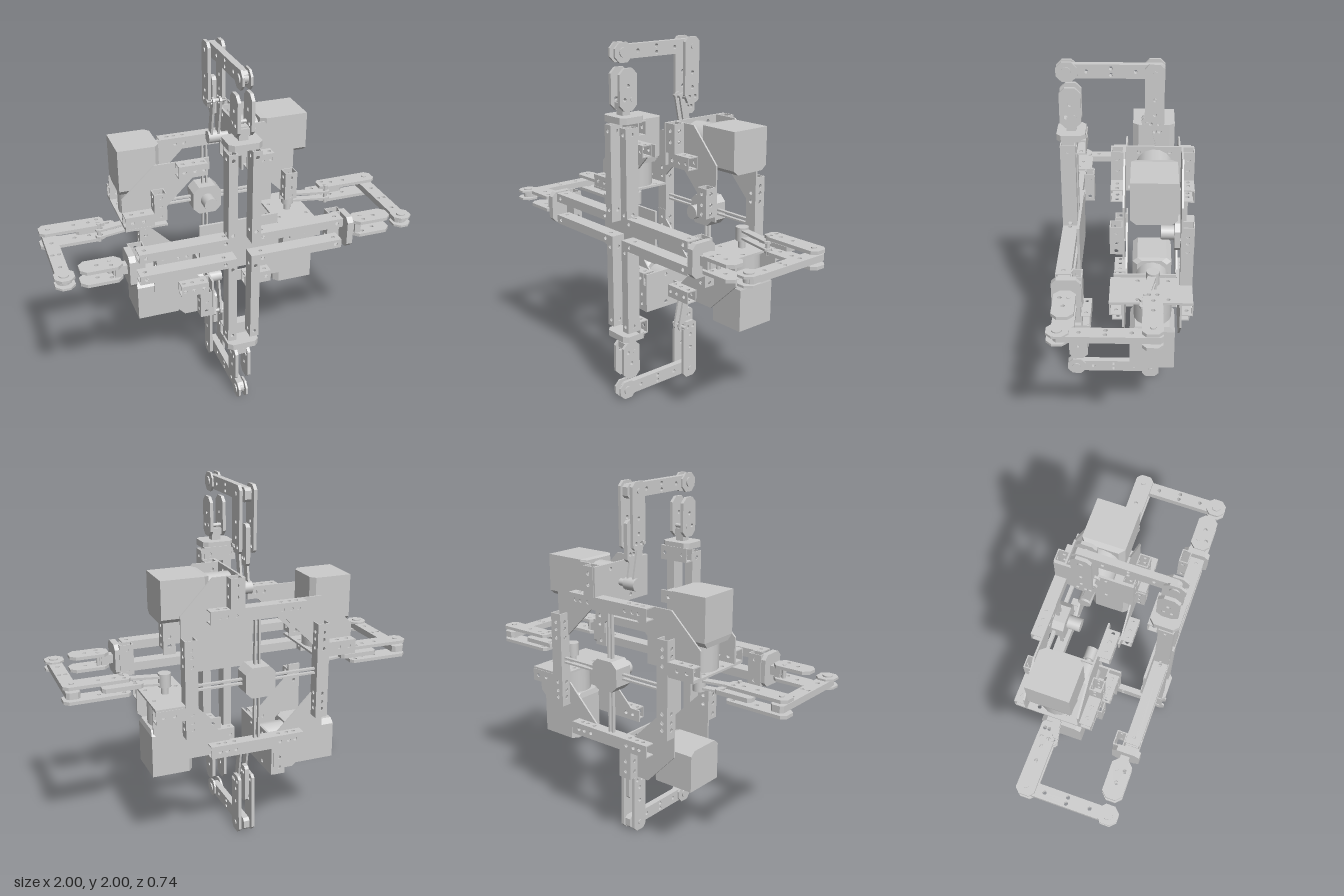
import * as THREE from 'three';
import { mergeGeometries } from 'three/addons/utils/BufferGeometryUtils.js';
import { ConvexGeometry } from 'three/addons/geometries/ConvexGeometry.js';

const mat = new THREE.MeshStandardMaterial({ color: 0xcccccc, flatShading: true });
const smooth = new THREE.MeshStandardMaterial({ color: 0xcccccc });

function add(parent, name, geo, x = 0, y = 0, z = 0, material = mat) {
  const m = new THREE.Mesh(geo, material);
  m.name = name;
  m.position.set(x, y, z);
  parent.add(m);
  return m;
}
const box = (w, h, d) => new THREE.BoxGeometry(w, h, d);

// Flat plate in xy, centred in depth, with round holes [x, y, r]
function plate(points, holes, t) {
  const s = new THREE.Shape(points.map(p => new THREE.Vector2(...p)));
  for (const [x, y, r = 0.011] of holes) {
    s.holes.push(new THREE.Path().absarc(x, y, r, 0, Math.PI * 2, true));
  }
  return new THREE.ExtrudeGeometry(s, { depth: t, bevelEnabled: false, curveSegments: 5 }).translate(0, 0, -t / 2);
}
// Same plate facing x: its points are [z, y]
const sidePlate = (points, holes, t) => plate(points, holes, t).rotateY(-Math.PI / 2);

// Rectangle with cut corners
const cutRect = (x0, y0, x1, y1, c) => [
  [x0 + c, y0], [x1 - c, y0], [x1, y0 + c], [x1, y1 - c],
  [x1 - c, y1], [x0 + c, y1], [x0, y1 - c], [x0, y0 + c]];
const rect = (x0, y0, x1, y1) => [[x0, y0], [x1, y0], [x1, y1], [x0, y1]];

// Open rectangular tube along y, drilled through all walls
function tube(w, d, len, holeYs) {
  const t = 0.006, h = holeYs.map(y => [0, y]), walls = [];
  for (const s of [-1, 1]) {
    walls.push(plate(rect(-w / 2, -len / 2, w / 2, len / 2), h, t).translate(0, 0, s * (d - t) / 2));
    walls.push(sidePlate(rect(-d / 2 + t, -len / 2, d / 2 - t, len / 2), h, t).translate(s * (w - t) / 2, 0, 0));
  }
  return mergeGeometries(walls);
}
const pin = (r, len) => new THREE.CylinderGeometry(r, r, len, 16).rotateZ(Math.PI / 2);

// Motor, gusset plates and mount on one arm
function addDrive(arm) {
  const cy = 0.455, cz = -0.14, pts = [];
  const section = (x, w, lo, hi) => {
    for (const s of [-1, 1]) {
      pts.push(new THREE.Vector3(x, hi, cz + s * w), new THREE.Vector3(x, lo + 0.025, cz + s * w),
        new THREE.Vector3(x, lo, cz + s * (w - 0.03)));
    }
  };
  section(0.235, 0.09, 0.345, 0.565);
  section(0.265, 0.118, 0.34, 0.57);
  section(0.5, 0.118, 0.34, 0.57);
  add(arm, 'motorHousing', new ConvexGeometry(pts));
  add(arm, 'motorGearbox', pin(0.1, 0.15).rotateX(0.1), 0.16, cy, cz, smooth).geometry.computeVertexNormals;
  add(arm, 'motorShaft', pin(0.02, 0.13), 0.03, cy, cz, smooth);

  add(arm, 'motorMountPlate', sidePlate(rect(-0.345, 0.34, 0.085, 0.57),
    [[-0.06, 0.37], [-0.22, 0.37], [-0.06, 0.54], [-0.22, 0.54]], 0.012), 0.085, 0, 0);

  const outline = [[0.08, 0.34], [0.14, 0.34], [0.34, 0.14], [0.34, 0.08], [0.41, 0.08],
    [0.41, 0.385], [0.235, 0.57], [0.08, 0.57]];
  const holes = [[0.125, 0.53], [0.125, 0.47], [0.125, 0.375], [0.18, 0.375], [0.375, 0.18], [0.375, 0.13]];
  for (const z of [0.012, -0.285]) add(arm, 'gussetPlate', plate(outline, holes, 0.01), 0, 0, z);
  for (const z of [0.05, -0.315]) {
    add(arm, 'mountTube', tube(0.07, 0.066, 0.16, [-0.02, 0.04]), 0.125, 0.49, z);
  }

  // Cross tubes behind and in front of the gussets
  const back = tube(0.07, 0.066, 0.54, [-0.22, -0.18, -0.13, 0.13, 0.18, 0.22]).rotateZ(Math.PI / 2);
  add(arm, 'backCrossTube', back, 0, 0.375, -0.315);
  for (const s of [-1, 1]) {
    const front = tube(0.07, 0.066, 0.16, [-0.06, -0.01, 0.05]).rotateZ(Math.PI / 2);
    add(arm, 'frontCrossTube', front, s * 0.19, 0.375, 0.05);
  }
}

// Front rail pair, end cap and gripping pad
function addRail(arm) {
  for (const s of [-1, 1]) {
    add(arm, 'rail', tube(0.05, 0.08, 0.53, [-0.2, 0.23]), s * 0.065, 0.305, 0.312);
    add(arm, 'fingerPad', sidePlate(cutRect(0.24, 0.65, 0.352, 0.87, 0.03),
      [[0.275, 0.71], [0.32, 0.71], [0.297, 0.78]], 0.018), s * 0.037, 0, 0);
  }
  add(arm, 'endTube', tube(0.08, 0.056, 0.18, [-0.06, 0.06]).rotateZ(Math.PI / 2), 0, 0.56, 0.243);
  add(arm, 'endCap', plate(cutRect(-0.09, 0.22, 0.09, 0.37, 0.025), [], 0.035).rotateX(Math.PI / 2), 0, 0.608, 0);
  add(arm, 'padStem', box(0.05, 0.09, 0.05), 0, 0.655, 0.295);
  add(arm, 'padSpacer', box(0.06, 0.035, 0.07), 0, 0.675, 0.297);
  add(arm, 'padPin', pin(0.011, 0.1), 0, 0.71, 0.275);
}

// Crank, upright link and reaching bar
function addLinkage(arm) {
  add(arm, 'reachBar', sidePlate(cutRect(-0.19, 0.913, 0.33, 0.987, 0.015),
    [[0.21, 0.95], [0.085, 0.967], [0.085, 0.933], [-0.04, 0.95]], 0.036));
  for (const s of [-1, 1]) {
    add(arm, 'barEndPlate', sidePlate(cutRect(0.255, 0.897, 0.365, 1, 0.03), [], 0.012), s * 0.022, 0, 0);
    add(arm, 'uprightLink', sidePlate([[-0.185, 0.66], [-0.165, 0.645], [-0.11, 0.645], [-0.088, 0.69],
      [-0.088, 0.975], [-0.11, 1], [-0.165, 1], [-0.19, 0.975]],
    [[-0.14, 0.95], [-0.14, 0.81], [-0.14, 0.73], [-0.12, 0.68], [-0.16, 0.68]], 0.018), s * 0.04, 0, 0);
    const crank = sidePlate(cutRect(-0.022, -0.03, 0.022, 0.25, 0.012), [[0, 0.22]], 0.012);
    add(arm, 'crank', crank.rotateX(0.2), s * 0.02, 0.455, -0.14);
  }
  add(arm, 'lowerLink', sidePlate(cutRect(-0.19, 0.58, -0.125, 0.8, 0.015),
    [[-0.14, 0.62], [-0.165, 0.62]], 0.024));
  add(arm, 'linkPin', pin(0.014, 0.11), 0, 0.95, -0.14, smooth);
  add(arm, 'linkPin', pin(0.011, 0.11), 0, 0.68, -0.1, smooth);
  add(arm, 'barPin', pin(0.026, 0.07), 0, 0.95, 0.312, smooth);
  add(arm, 'crankHub', pin(0.035, 0.075), 0, 0.455, -0.14, smooth);
}

export function createModel() {
  const model = new THREE.Group();
  model.name = 'fourArmGripper';
  const body = new THREE.Group();
  body.name = 'gripperBody';
  body.position.y = 1;
  model.add(body);

  for (let i = 0; i < 4; i++) {
    const arm = new THREE.Group();
    arm.name = 'arm' + (i + 1);
    arm.rotation.z = i * Math.PI / 2;
    addDrive(arm);
    addRail(arm);
    addLinkage(arm);
    // Thin rods tying the central hub to the cross tubes
    for (const s of [-1, 1]) add(arm, 'hubRod', box(0.01, 0.32, 0.02), s * 0.012, 0.22, -0.315);
    body.add(arm);
  }

  // Centre plate behind the rails and the rear hub
  add(body, 'centrePlate', box(0.44, 0.29, 0.014), 0, 0, 0.26);
  add(body, 'rearHub', plate(cutRect(-0.085, -0.085, 0.085, 0.085, 0.035), [], 0.11), 0, 0, -0.315);
  add(body, 'hubBoss', new THREE.CylinderGeometry(0.04, 0.04, 0.08, 24).rotateX(Math.PI / 2), 0, 0, -0.225, smooth);
  return model;
}
